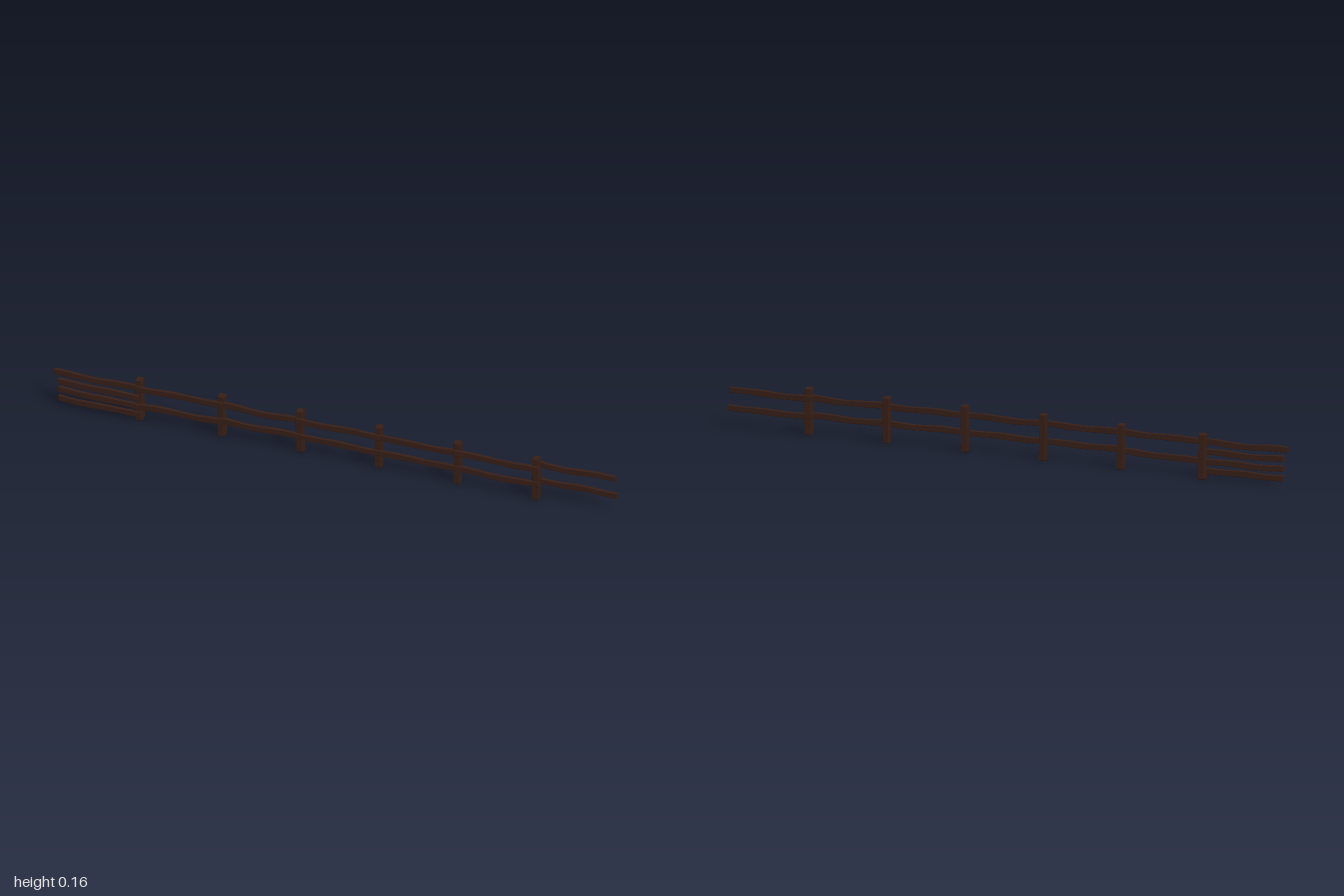
import * as THREE from 'three';

const wood = new THREE.MeshStandardMaterial({ color: 0x361e16, roughness: 0.9, flatShading: true });

// Chamfered timber along local +y, bent by a rule at each ring
function timber(length, width, depth, rings, bend) {
  const c = 0.14;
  const outline = [[-1, -1 + c], [-1 + c, -1], [1 - c, -1], [1, -1 + c], [1, 1 - c], [1 - c, 1], [-1 + c, 1], [-1, 1 - c]];
  const n = outline.length, pos = [], index = [];
  const ring = (t, scale) => {
    const [dx, dz, grow] = bend(t);
    for (const [x, z] of outline) {
      pos.push(x * width / 2 * scale * grow + dx, t * length, z * depth / 2 * scale * grow + dz);
    }
  };
  const chamfer = Math.min(0.03, 0.003 / length);
  ring(0, 0.85);
  for (let i = 0; i <= rings; i++) ring(chamfer + (1 - 2 * chamfer) * i / rings, 1);
  ring(1, 0.85);
  const last = rings + 2;
  for (let r = 0; r < last; r++) {
    for (let i = 0; i < n; i++) {
      const j = (i + 1) % n, a = r * n + i, b = r * n + j;
      index.push(a, a + n, b, b, a + n, b + n);
    }
  }
  for (let i = 1; i < n - 1; i++) {
    index.push(0, i, i + 1, last * n, last * n + i + 1, last * n + i);
  }
  const g = new THREE.BufferGeometry();
  g.setAttribute('position', new THREE.Float32BufferAttribute(pos, 3));
  g.setIndex(index);
  g.computeVertexNormals();
  return g;
}

export function createModel() {
  const fence = new THREE.Group();
  fence.name = 'fence';

  // Posts: x, bottom, top
  const posts = [
    [-0.699, 0, 0.156], [-0.407, 0.003, 0.158], [-0.127, 0.005, 0.163],
    [0.154, 0.005, 0.163], [0.435, 0.005, 0.163], [0.715, 0.004, 0.165],
  ];
  posts.forEach(([x, y0, y1], i) => {
    const g = timber(y1 - y0, 0.023, 0.027, 4,
      t => [0.001 * Math.sin(5 * t + i), 0.0015 * (t - 0.5) + 0.0007 * Math.sin(4 * t + 2 * i), 1 + 0.04 * Math.sin(7 * t + i)]);
    const post = new THREE.Mesh(g, wood);
    post.name = 'post' + (i + 1);
    post.position.set(x, y0, 0);
    fence.add(post);
  });

  // Rails: start x, end x, start y, end y, z, sag
  const rails = [
    // four-rail end bay
    [-1, -0.695, 0.128, 0.127, 0.013, 0.004],
    [-0.985, -0.698, 0.093, 0.091, 0.014, 0.002],
    [-0.985, -0.695, 0.06, 0.058, 0.013, 0.002],
    [-0.985, -0.688, 0.028, 0.027, 0.014, 0.002],
    // two-rail middle bays
    [-0.71, -0.4, 0.126, 0.128, 0.013, 0.002],
    [-0.71, -0.4, 0.058, 0.063, 0.013, 0.002],
    [-0.418, -0.12, 0.128, 0.128, 0.013, 0.003],
    [-0.418, -0.12, 0.066, 0.067, 0.013, 0.001],
    [-0.138, 0.162, 0.126, 0.128, 0.013, 0.002],
    [-0.138, 0.162, 0.067, 0.067, 0.013, 0.001],
    [0.143, 0.443, 0.128, 0.128, 0.013, 0.003],
    [0.143, 0.443, 0.068, 0.067, 0.013, 0.001],
    [0.424, 0.728, 0.128, 0.127, 0.013, 0.003],
    [0.424, 0.728, 0.067, 0.068, 0.013, 0.002],
    // last bay, fixed behind the post
    [0.695, 0.992, 0.131, 0.135, -0.014, 0.002],
    [0.695, 1, 0.071, 0.072, -0.014, 0.002],
  ];
  rails.forEach(([x0, x1, y0, y1, z, sag], i) => {
    // lay the timber down along x; its bend then drops in -y
    const g = timber(x1 - x0, 0.0195, 0.0115, 9, t => [
      sag * Math.sin(Math.PI * t) - 0.0015 * Math.sin(9 * t + i),
      0.002 * Math.sin(7 * t + 1.7 * i),
      1 + 0.06 * Math.sin(11 * t + i),
    ]);
    g.rotateZ(-Math.PI / 2);
    const rail = new THREE.Mesh(g, wood);
    rail.name = 'rail' + (i + 1);
    rail.position.set(x0, y0, z);
    rail.rotation.z = Math.atan2(y1 - y0, x1 - x0);
    fence.add(rail);
  });

  return fence;
}
